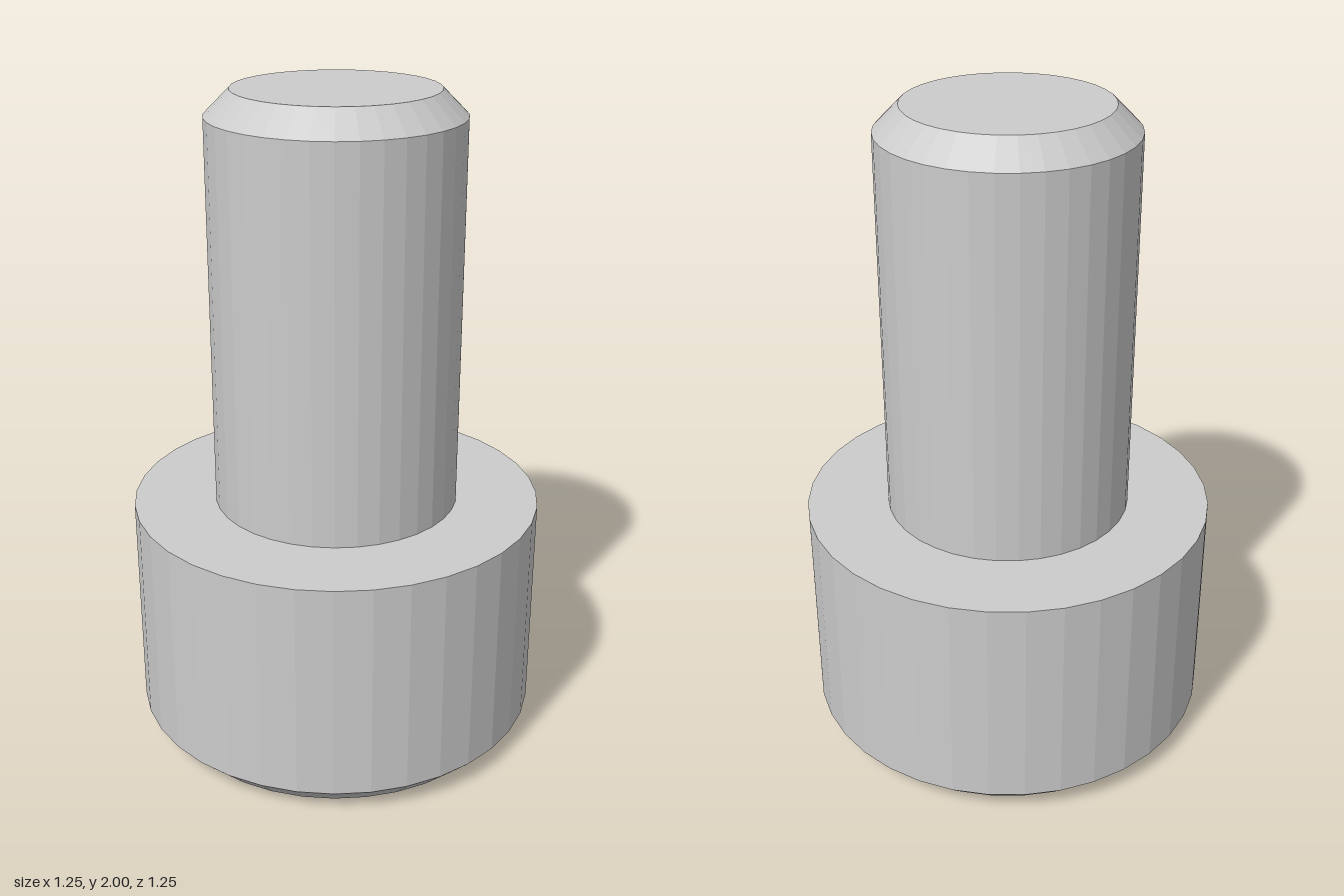
import * as THREE from 'three';

const SIDES = 36;
const HEAD_R = 0.625, SHANK_R = 0.375, CHAMFER = 0.075;
const HEAD_H = 0.75, TOTAL_H = 2;
const SOCKET_R = 0.361, SOCKET_DEPTH = 0.375;

const material = new THREE.MeshStandardMaterial({ color: 0xcccccc, flatShading: true });

function addMesh(group, name, geometry) {
  const mesh = new THREE.Mesh(geometry, material);
  mesh.name = name;
  group.add(mesh);
}

function lathe(profile, sides) {
  return new THREE.LatheGeometry(profile.map(([r, y]) => new THREE.Vector2(r, y)), sides);
}

// Corners of a regular polygon with its first corner on +z
function ring(radius, sides) {
  return Array.from({ length: sides }, (_, i) => {
    const a = (i / sides) * Math.PI * 2;
    return new THREE.Vector2(Math.sin(a) * radius, Math.cos(a) * radius);
  });
}

export function createModel() {
  const screw = new THREE.Group();
  screw.name = 'socketHeadScrew';

  // Head: chamfered lower rim, straight side and flat shoulder
  addMesh(screw, 'head', lathe([
    [HEAD_R - CHAMFER, 0], [HEAD_R, CHAMFER], [HEAD_R, HEAD_H], [SHANK_R, HEAD_H],
  ], SIDES));

  // Shank with a chamfered, flat tip
  addMesh(screw, 'shank', lathe([
    [SHANK_R, HEAD_H], [SHANK_R, TOTAL_H - CHAMFER], [SHANK_R - CHAMFER, TOTAL_H], [0, TOTAL_H],
  ], SIDES));

  // Underside of the head with a hexagonal opening
  const face = new THREE.Shape(ring(HEAD_R - CHAMFER, SIDES));
  face.holes.push(new THREE.Path(ring(SOCKET_R, 6)));
  addMesh(screw, 'headFace', new THREE.ShapeGeometry(face).rotateX(Math.PI / 2));

  // Hexagonal socket: floor and walls, facing inward
  addMesh(screw, 'hexSocket', lathe([
    [0, SOCKET_DEPTH], [SOCKET_R, SOCKET_DEPTH], [SOCKET_R, 0],
  ], 6));

  return screw;
}
